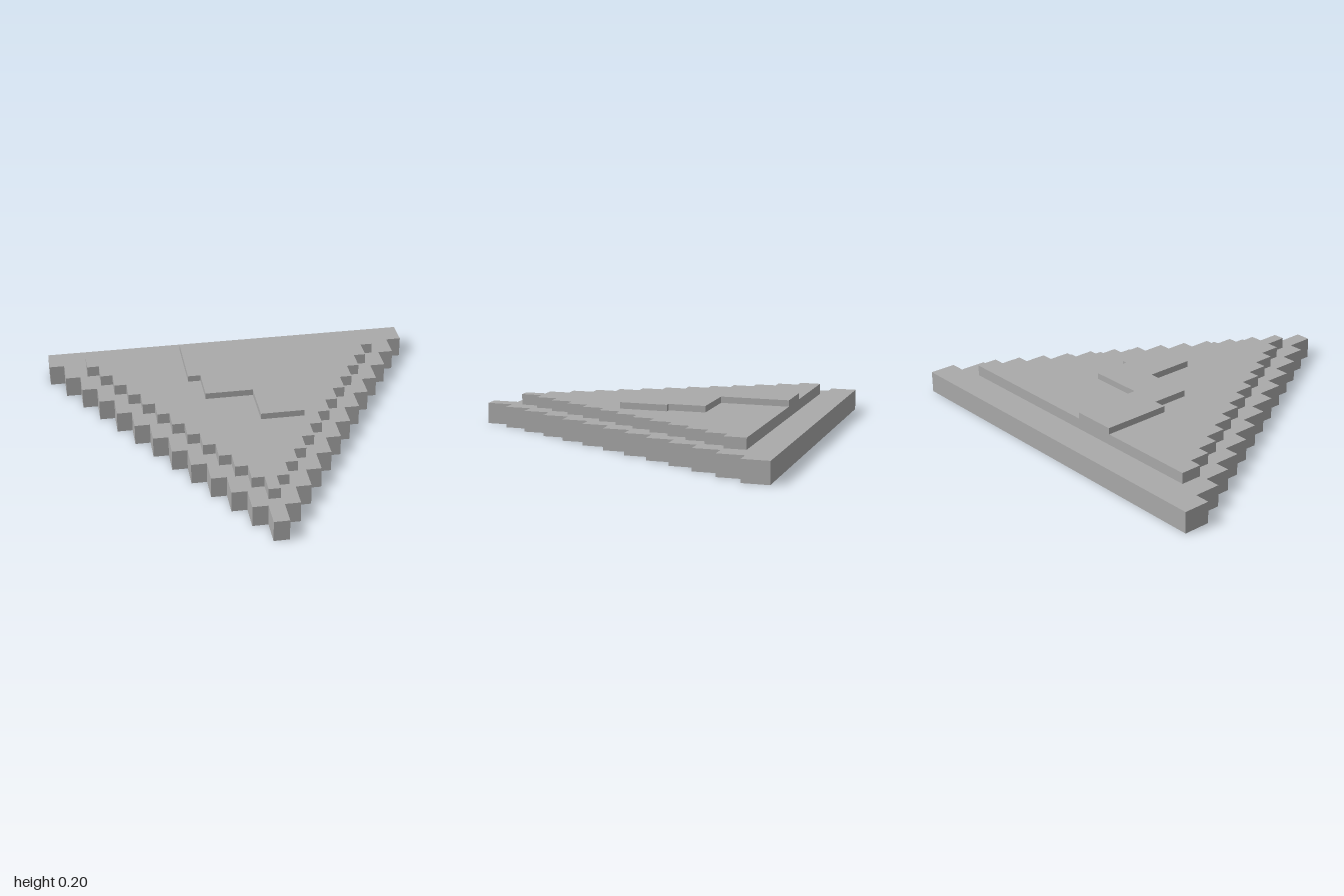
import * as THREE from 'three';

// Extrudes an outline given in (x, z) between two heights
function slab(name, outline, bottom, top, material) {
  const shape = new THREE.Shape(outline.map(([x, z]) => new THREE.Vector2(x, z)));
  const geometry = new THREE.ExtrudeGeometry(shape, { depth: top - bottom, bevelEnabled: false });
  geometry.rotateX(Math.PI / 2);
  geometry.translate(0, top, 0);
  const mesh = new THREE.Mesh(geometry, material);
  mesh.name = name;
  return mesh;
}

// Stepped triangle: rows narrow evenly from back to front, mirrored in x
function steppedTriangle(rows, wide, narrow, back, front) {
  const right = [];
  const depth = (front - back) / rows;
  for (let i = 0; i < rows; i++) {
    const half = wide + (narrow - wide) * i / (rows - 1);
    right.push([half, back + depth * i], [half, back + depth * (i + 1)]);
  }
  const left = right.map(([x, z]) => [-x, z]).reverse();
  return [...right, ...left];
}

export function createModel() {
  const group = new THREE.Group();
  group.name = 'steppedSign';

  const grey = new THREE.MeshStandardMaterial({ color: 0xaaaaaa });
  grey.name = 'grey';

  // Raised zigzag, from the back edge towards the front
  const bolt = [
    [-0.275, -0.737], [-0.045, -0.737], [-0.045, -0.377], [0.246, -0.377],
    [0.246, -0.184], [0.275, -0.184], [0.275, 0.066], [0.045, 0.066],
    [0.045, -0.184], [-0.208, -0.184], [-0.208, -0.38], [-0.275, -0.38],
  ];

  group.add(
    slab('basePlate', steppedTriangle(13, 1, 0.04, -0.9, 0.9), 0, 0.111, grey),
    slab('raisedPanel', steppedTriangle(13, 0.8, 0.03, -0.737, 0.706), 0.111, 0.168, grey),
    slab('bolt', bolt, 0.168, 0.201, grey),
  );
  return group;
}
